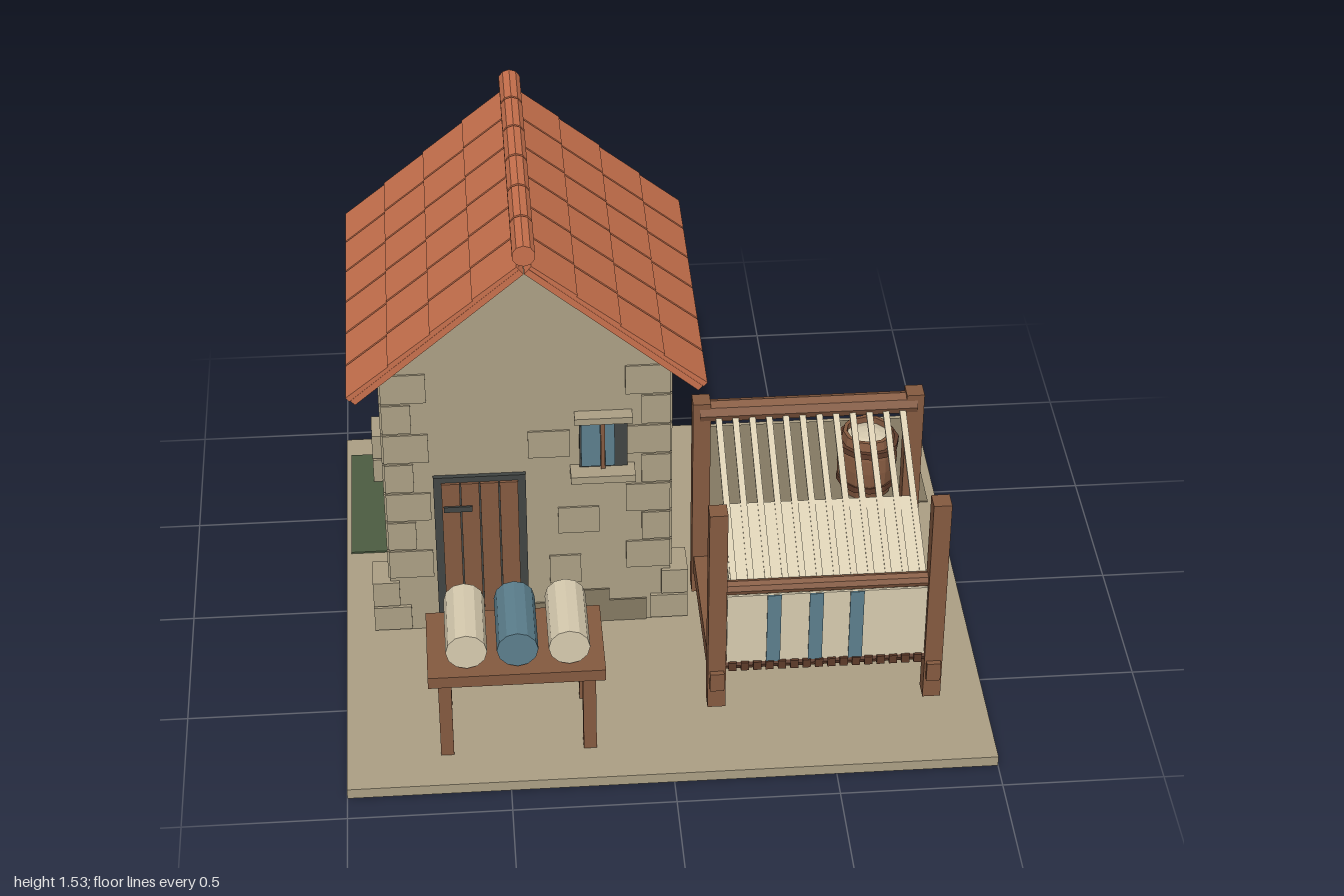
import * as THREE from 'three';

const mat = (name, color) => {
  const m = new THREE.MeshStandardMaterial({ color });
  m.name = name;
  return m;
};

export function createModel() {
  const model = new THREE.Group();
  model.name = 'weaverCottage';
  const stone = mat('stone', 0xaca085);
  const darkStone = mat('darkStone', 0x857a63);
  const tile = mat('roofTile', 0xc8714d);
  const wood = mat('wood', 0x855a40);
  const darkWood = mat('darkWood', 0x5e3b2a);
  const iron = mat('iron', 0x414543);
  const cream = mat('cream', 0xd8ccb0);
  const blue = mat('blueCloth', 0x5c7f8d);
  const moss = mat('moss', 0x4d5d42);

  const group = (name, parent = model) => {
    const g = new THREE.Group();
    g.name = name;
    parent.add(g);
    return g;
  };
  const add = (parent, name, geometry, material) => {
    const mesh = new THREE.Mesh(geometry, material);
    mesh.name = name;
    parent.add(mesh);
    return mesh;
  };
  // Box given by its lower and upper limits on each axis
  const box = (parent, name, material, x0, x1, y0, y1, z0, z1) => {
    const mesh = add(parent, name, new THREE.BoxGeometry(x1 - x0, y1 - y0, z1 - z0), material);
    mesh.position.set((x0 + x1) / 2, (y0 + y1) / 2, (z0 + z1) / 2);
    return mesh;
  };
  // Faceted cylinder lying along x or z
  const log = (parent, name, material, axis, r, length, x, y, z, sides = 10) => {
    const g = new THREE.CylinderGeometry(r, r, length, sides).toNonIndexed();
    if (axis === 'x') g.rotateZ(Math.PI / 2);
    else g.rotateX(Math.PI / 2);
    g.computeVertexNormals();
    const mesh = add(parent, name, g, material);
    mesh.position.set(x, y, z);
    return mesh;
  };
  let seed = 11;
  const random = () => (seed = (seed * 16807) % 2147483647) / 2147483647;

  // Ground slab, yard patches and doorstep
  const ground = group('ground');
  box(ground, 'slab', stone, -1, 1, 0, 0.035, -0.91, 0.91);
  box(ground, 'yardPatch', darkStone, 0.225, 0.97, 0.033, 0.04, -0.89, -0.4);
  box(ground, 'mossPatch', moss, -0.985, -0.8, 0.033, 0.041, -0.81, -0.26);
  box(ground, 'doorstep', stone, -0.71, -0.4, 0.034, 0.058, 0.15, 0.305);

  // House body with gables
  const house = group('house');
  const outline = new THREE.Shape([[-0.85, 0.035], [0.045, 0.035], [0.045, 1.045], [-0.4, 1.43], [-0.85, 1.045]]
    .map(([x, y]) => new THREE.Vector2(x, y)));
  const body = new THREE.ExtrudeGeometry(outline, { depth: 0.9, bevelEnabled: false });
  add(house, 'walls', body, stone).position.z = -0.75;

  // Thin plate on a wall; u runs along the wall
  const plate = (name, material, wall, u0, u1, y0, y1, t = 0.006) => {
    if (wall === 'front') box(house, name, material, u0, u1, y0, y1, 0.149, 0.15 + t);
    if (wall === 'back') box(house, name, material, u0, u1, y0, y1, -0.75 - t, -0.749);
    if (wall === 'right') box(house, name, material, -0.85 - t, -0.849, y0, y1, u0, u1);
    if (wall === 'left') box(house, name, material, 0.044, 0.045 + t, y0, y1, u0, u1);
  };

  // Raised stones: alternating at the corners, scattered between
  for (const wall of ['front', 'back', 'left', 'right']) {
    const [a, b] = wall === 'front' || wall === 'back' ? [-0.85, 0.045] : [-0.75, 0.15];
    for (let row = 0; row < 7; row++) {
      const y = 0.25 + row * 0.113;
      const w = row % 2 ? 0.09 : 0.14;
      plate('cornerStone', stone, wall, a, a + w, y, y + 0.105);
      plate('cornerStone', stone, wall, b - w, b, y, y + 0.105);
      if (wall === 'front') continue;
      const u = a + 0.2 + random() * 0.32;
      plate('wallStone', stone, wall, u, u + 0.12 + random() * 0.06, y, y + 0.1);
    }
    for (let i = 0; i < 6; i++) {
      const u = a + 0.1 + i * 0.12;
      if (wall === 'front' && u < -0.4) continue;
      plate('plinthStone', darkStone, wall, u, u + 0.12, 0.035, i % 2 ? 0.12 : 0.165);
    }
  }
  plate('wallStone', stone, 'front', -0.34, -0.24, 0.2, 0.31);
  plate('wallStone', stone, 'front', -0.31, -0.18, 0.4, 0.5);
  plate('wallStone', stone, 'front', -0.4, -0.27, 0.7, 0.8);

  // Heavy quoins at the foot of each corner
  for (const side of [-1, 1]) for (const [z0, z1] of [[-0.762, -0.645], [0.045, 0.162]]) {
    const quoin = (y0, y1, inner) => {
      const xs = [-0.4025 + side * inner, -0.4025 + side * 0.505].sort((p, q) => p - q);
      box(house, 'quoin', stone, xs[0], xs[1], y0, y1, z0, z1);
    };
    quoin(0.045, 0.135, 0.385);
    quoin(0.142, 0.235, 0.42);
  }

  // Plank door in a dark frame
  const door = group('door', house);
  box(door, 'frame', iron, -0.7, -0.41, 0.035, 0.645, 0.149, 0.165);
  for (let i = 0; i < 4; i++) {
    const x = -0.675 + i * 0.061;
    box(door, 'plank', wood, x, x + 0.057, 0.06, 0.625, 0.16, 0.174);
  }
  for (const y of [0.18, 0.52]) box(door, 'strapHinge', iron, -0.67, -0.58, y, y + 0.02, 0.17, 0.18);

  // Window with sill and lintel
  const windowPart = group('window', house);
  box(windowPart, 'frame', iron, -0.24, -0.09, 0.66, 0.85, 0.149, 0.165);
  box(windowPart, 'pane', blue, -0.235, -0.175, 0.67, 0.84, 0.16, 0.171);
  box(windowPart, 'pane', blue, -0.16, -0.13, 0.67, 0.84, 0.16, 0.171);
  box(windowPart, 'mullion', wood, -0.174, -0.161, 0.665, 0.845, 0.16, 0.18);
  box(windowPart, 'lintel', stone, -0.255, -0.075, 0.845, 0.868, 0.149, 0.195);
  box(windowPart, 'sill', stone, -0.27, -0.068, 0.638, 0.664, 0.149, 0.22);

  // Tiled roof: each slope is built along local x from the ridge
  const roof = group('roof');
  for (const turn of [0, Math.PI]) {
    const half = group('roofSlope', roof);
    half.position.set(-0.4, 1.43, -0.305);
    half.rotation.y = turn;
    const slope = group('tiles', half);
    slope.rotation.z = -Math.atan2(0.45, 0.525);
    box(slope, 'boards', tile, 0, 0.69, 0.001, 0.022, -0.532, 0.532);
    for (let row = 0; row < 4; row++) for (let col = 0; col < 6; col++) {
      const x = row * 0.173;
      const z = -0.535 + col * 0.1783;
      const t = box(slope, 'tile', tile, x, x + 0.175, 0.016, 0.034, z + 0.004, z + 0.1743);
      t.rotation.z = 0.03;
      t.position.y += 0.003;
    }
  }
  for (let col = 0; col < 6; col++) {
    log(roof, 'ridgeTile', tile, 'z', 0.036, 0.17, -0.4, 1.493, -0.751 + col * 0.1783, 10);
  }

  // Table with three rolls of cloth
  const table = group('table');
  box(table, 'top', wood, -0.74, -0.2, 0.318, 0.358, 0.475, 0.79);
  for (const x of [-0.69, -0.25]) for (const z of [0.517, 0.752]) {
    box(table, 'leg', wood, x - 0.02, x + 0.02, 0.02, 0.32, z - 0.021, z + 0.021);
  }
  [[-0.62, cream], [-0.465, blue], [-0.308, cream]].forEach(([x, m]) =>
    log(table, 'clothRoll', m, 'z', 0.063, 0.255, x, 0.425, 0.628, 12));

  // Loom frame
  const loom = group('loom');
  for (const x of [0.152, 0.828]) {
    box(loom, 'frontPost', wood, x - 0.028, x + 0.028, 0.065, 0.81, 0.585, 0.643);
    box(loom, 'backPost', wood, x - 0.028, x + 0.028, 0.065, 0.81, 0.005, 0.063);
    box(loom, 'sideRail', wood, x - 0.022, x + 0.022, 0.142, 0.208, -0.015, 0.66);
  }
  log(loom, 'warpBeam', wood, 'x', 0.036, 0.69, 0.49, 0.768, 0.036, 8);
  log(loom, 'breastBeam', wood, 'x', 0.023, 0.64, 0.49, 0.508, 0.607, 8);
  log(loom, 'clothBeam', darkWood, 'x', 0.022, 0.64, 0.49, 0.225, 0.618, 8);

  // Sloping warp: woven near the front, loose threads behind
  const warp = group('warp', loom);
  warp.position.set(0.18, 0.51, 0.585);
  warp.rotation.x = Math.atan2(0.235, 0.52);
  box(warp, 'wovenCloth', cream, 0.01, 0.61, 0, 0.008, -0.27, 0.02);
  for (let i = 0; i < 12; i++) {
    const x = 0.015 + i * 0.053;
    box(warp, 'thread', cream, x, x + 0.02, 0.001, 0.012, -0.575, 0.01);
  }

  // Hanging striped cloth with a fringe
  const cloth = group('hangingCloth', loom);
  box(cloth, 'sheet', cream, 0.182, 0.798, 0.235, 0.495, 0.628, 0.636);
  for (const x of [0.305, 0.435, 0.56]) box(cloth, 'stripe', blue, x, x + 0.043, 0.236, 0.494, 0.63, 0.64);
  for (let i = 0; i < 16; i++) {
    const x = 0.188 + i * 0.0385;
    box(cloth, 'fringe', darkWood, x, x + 0.025, 0.208, 0.238, 0.63, 0.645);
  }

  // Barrel of wool: staves, hoops and filling
  const barrel = group('barrel');
  barrel.position.set(0.77, 0.04, -0.5);
  const lathe = (name, points, material) => {
    const g = new THREE.LatheGeometry(points.map(([r, y]) => new THREE.Vector2(r, y)), 12).toNonIndexed();
    g.computeVertexNormals();
    add(barrel, name, g, material);
  };
  lathe('staves', [[0, 0.002], [0.083, 0.002], [0.1, 0.07], [0.103, 0.12], [0.1, 0.17], [0.085, 0.238],
    [0.072, 0.238], [0.072, 0.21]], wood);
  for (const [y, r] of [[0.04, 0.097], [0.185, 0.1]]) {
    lathe('hoop', [[r - 0.015, y], [r + 0.006, y], [r + 0.006, y + 0.022], [r - 0.015, y + 0.022]], darkWood);
  }
  lathe('woolFilling', [[0.074, 0.215], [0.04, 0.226], [0, 0.23]], cream);

  return model;
}
